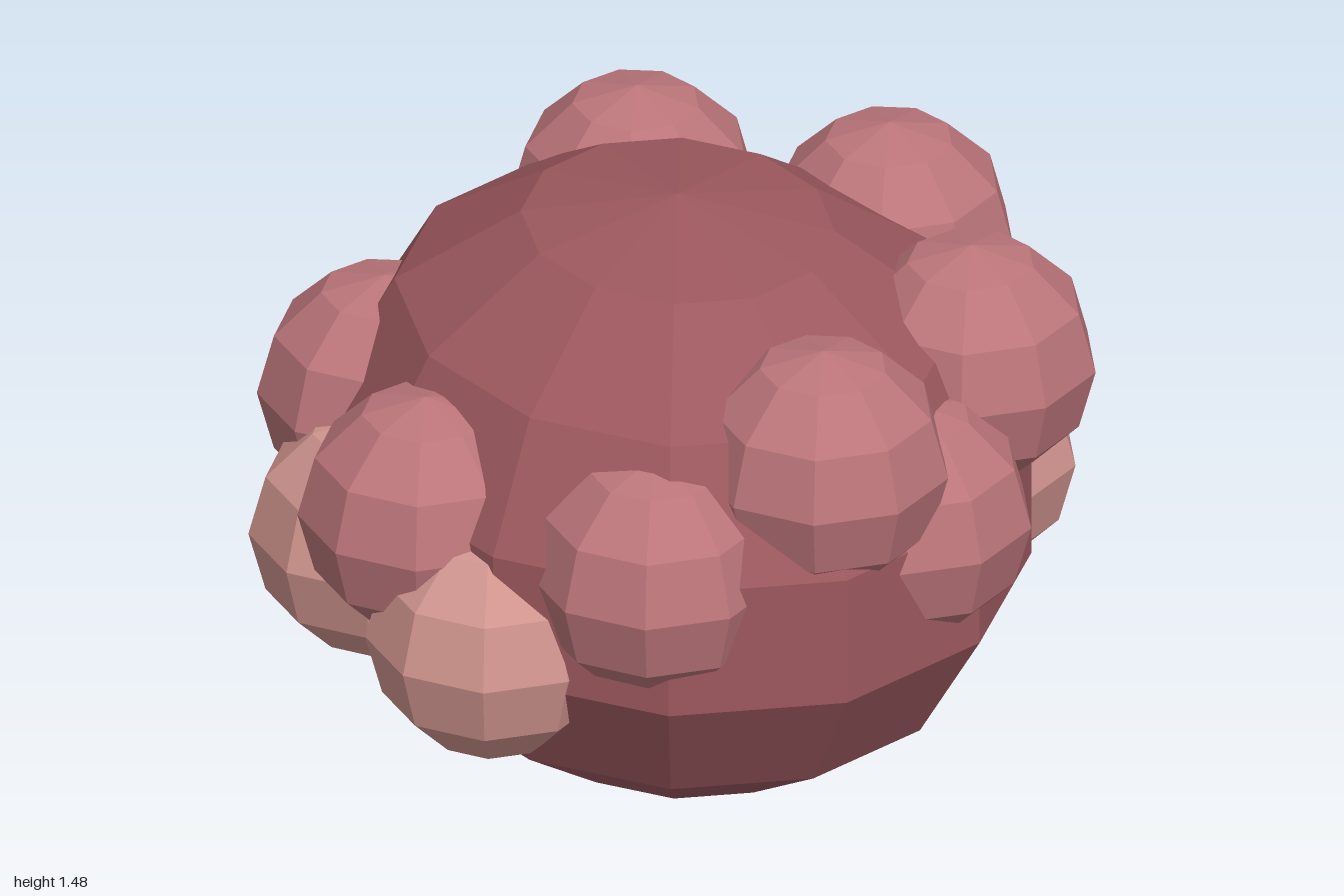
import * as THREE from 'three';

const material = (color) => new THREE.MeshStandardMaterial({ color, flatShading: true });

export function createModel() {
  const model = new THREE.Group();

  // Large faceted body, slightly longer front to back
  const body = new THREE.Mesh(new THREE.SphereGeometry(1, 12, 7), material(0x9c585e));
  body.name = 'body';
  body.scale.set(0.83, 0.74, 0.94);
  body.position.set(-0.01, 0.74, 0);
  model.add(body);

  // Nine-sided lobes, each with a corner towards +x
  const lobeGeometry = new THREE.SphereGeometry(0.302, 9, 6).rotateY(Math.PI);
  const addLobes = (name, mat, centres) => {
    const group = new THREE.Group();
    group.name = name;
    centres.forEach(([x, y, z], i) => {
      const lobe = new THREE.Mesh(lobeGeometry, mat);
      lobe.name = `${name}${i + 1}`;
      lobe.position.set(x, y, z);
      group.add(lobe);
    });
    model.add(group);
  };

  // Upper and middle lobes spiralling round the body
  const pink = material(0xbb757a);
  addLobes('upperLobe', pink, [
    [0.05, 1.08, 0.665],
    [0.58, 1.08, 0.36],
    [0.66, 1.08, -0.25],
    [0.2, 1.08, -0.665],
  ]);
  addLobes('middleLobe', pink, [
    [0.295, 0.855, 0.605],
    [-0.35, 0.855, 0.585],
    [-0.715, 0.855, 0.1],
    [-0.55, 0.855, -0.465],
  ]);

  // Paler lobes lowest on the body
  addLobes('lowerLobe', material(0xd0948e), [
    [0.7, 0.615, 0],
    [0.42, 0.615, -0.555],
    [-0.2, 0.615, -0.675],
    [-0.675, 0.615, -0.25],
    [-0.64, 0.615, 0.31],
  ]);

  return model;
}
